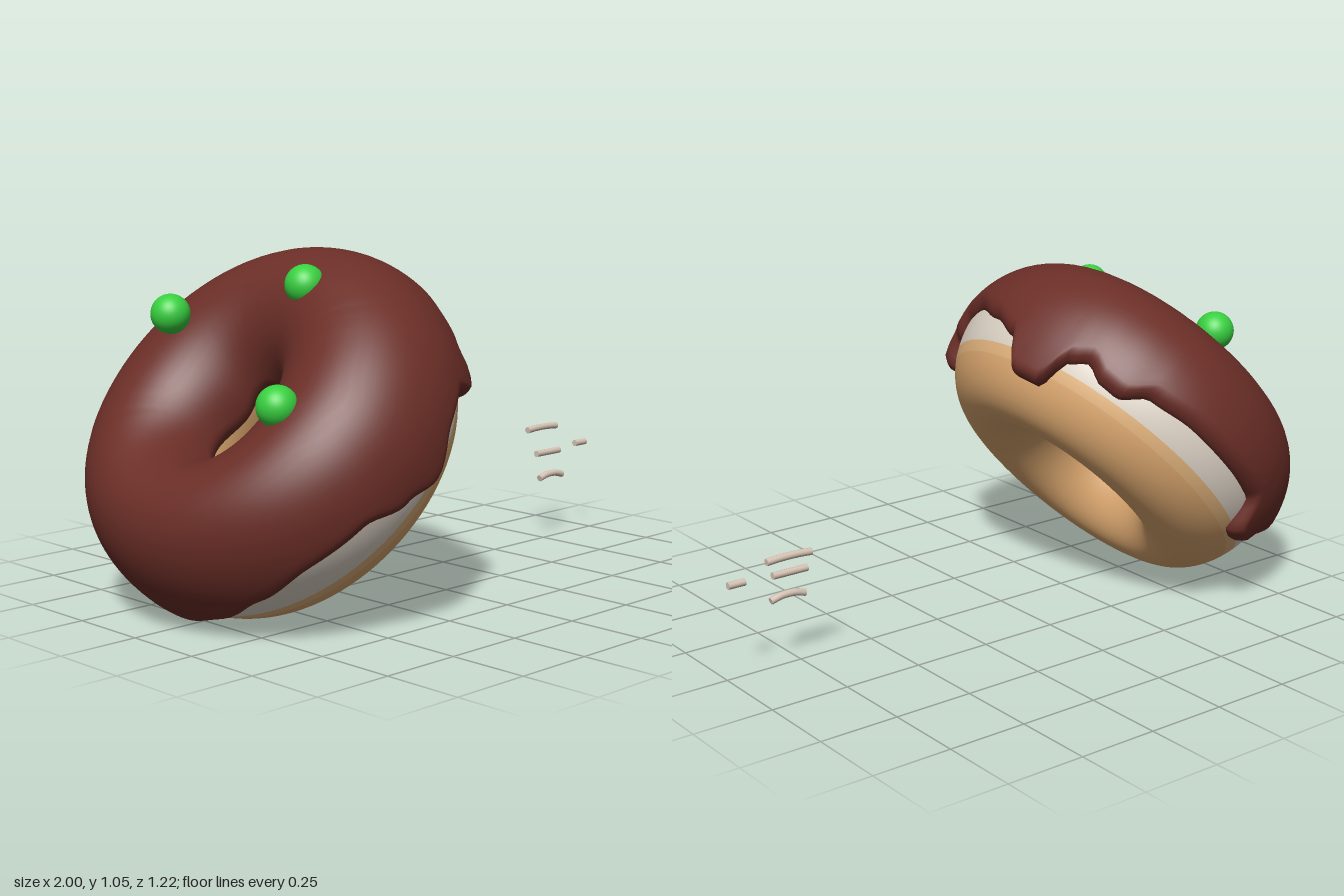
import * as THREE from 'three';

const DEG = Math.PI / 180;
const paint = (name, color) => {
  const m = new THREE.MeshStandardMaterial({ color });
  m.name = name;
  return m;
};

// Lower edge of the icing: [degrees round the ring, degrees round the tube]
const EDGE = [
  [-180, -25], [-165, -22], [-145, -8], [-124, -10], [-117, -34], [-111, -34], [-103, -12],
  [-90, -11], [-70, -11], [-54, -14], [-45, -25], [-39, -24], [-32, -17], [-27, -22],
  [-20, -45], [-11, -45], [-3, -22], [10, -13], [25, -6], [36, -9], [43, -20], [47, -20],
  [52, -36], [56, -36], [63, -19], [75, -18], [90, -27], [101, -17], [114, -4], [132, -3],
  [150, -10], [165, -20], [180, -25],
];
function icingEdge(phi) {
  let k = 0;
  while (k < EDGE.length - 2 && EDGE[k + 1][0] <= phi) k++;
  const [p0, t0] = EDGE[k], [p1, t1] = EDGE[k + 1];
  return t0 + (t1 - t0) * THREE.MathUtils.smoothstep(phi, p0, p1);
}

// Point on the ring, whose oval hole sits slightly off centre, pushed out by `offset`
function ringPoint(phi, t, offset) {
  const c = Math.cos(phi * DEG);
  const outer = 0.578 - 0.01 * Math.max(c, 0) ** 2, inner = 0.13 + 0.05 * c * c - 0.04 * c;
  const R = (outer + inner) / 2, a = (outer - inner) / 2;
  const ct = Math.cos(t * DEG), st = Math.sin(t * DEG);
  const b = st > 0 ? 0.25 : 0.285;
  const len = Math.hypot(ct / a, st / b);
  const rho = R + a * ct + offset * ct / a / len;
  return [rho * c, b * st + offset * st / b / len, rho * Math.sin(phi * DEG)];
}

// Surface closed round the ring; row(phi, j) gives a point, rows run round the tube
function ringSurface(cols, rows, row) {
  const pos = [], index = [], geo = new THREE.BufferGeometry();
  for (let j = 0; j <= rows; j++)
    for (let i = 0; i < cols; i++) pos.push(...row(-180 + 360 * i / cols, j));
  for (let j = 0; j < rows; j++)
    for (let i = 0; i < cols; i++) {
      const n = (i + 1) % cols;
      const A = j * cols + i, B = j * cols + n, C = A + cols, D = B + cols;
      index.push(A, C, B, B, C, D);
    }
  geo.setAttribute('position', new THREE.Float32BufferAttribute(pos, 3));
  geo.setIndex(index);
  geo.computeVertexNormals();
  return geo;
}

export function createModel() {
  const dough = paint('golden dough', 0xdba76f);
  const paleDough = paint('pale dough', 0xe0b27c);
  const cream = paint('cream band', 0xddd3c6);
  const chocolate = paint('chocolate icing', 0x6b2e27);
  const green = paint('green candy', 0x38d040);
  const sugar = paint('sugar sprinkle', 0xd6c3b4);

  const model = new THREE.Group();
  model.name = 'doughnut with sprinkles';
  const add = (parent, name, geo, mat) => {
    const mesh = new THREE.Mesh(geo, mat);
    mesh.name = name;
    parent.add(mesh);
    return mesh;
  };

  // Tilted doughnut
  const ring = new THREE.Group();
  ring.name = 'doughnut';
  ring.position.set(-0.48, 0.525, 0);
  ring.rotation.z = 48 * DEG;
  model.add(ring);

  // Dough: golden inside and below, then a pale and a cream band round the outside
  const COLS = 96, PER_ROW = COLS * 6;
  const doughGeo = ringSurface(COLS, 90, (phi, j) => ringPoint(phi, 60 + 4 * j, 0));
  [[0, 66], [66, 68], [68, 90]].forEach(([from, to], m) =>
    doughGeo.addGroup(from * PER_ROW, (to - from) * PER_ROW, m));
  add(ring, 'dough', doughGeo, [dough, paleDough, cream]);

  // Icing: rounded lip, thicker at the drips, running down into the hole
  const ICING_ROWS = 40;
  const icing = ringSurface(180, ICING_ROWS, (phi, j) => {
    const lo = icingEdge(phi), hi = 176 + 4 * Math.sin(phi * DEG * 3);
    const s = 0.5 - 0.5 * Math.cos(Math.PI * j / ICING_ROWS);
    const t = lo + (hi - lo) * s;
    const near = Math.min(t - lo, hi - t);
    const lip = Math.sqrt(THREE.MathUtils.clamp(near / 8, 0, 1));
    const drip = Math.max(0, (-lo - 20) / 30) * 0.024 + 0.008;
    return ringPoint(phi, t, -0.008 + (0.036 + drip * Math.exp(-(t - lo) / 22)) * lip);
  });
  add(ring, 'icing', icing, chocolate);

  // Candy balls
  const ball = new THREE.SphereGeometry(0.06, 32, 20);
  [[-0.615, 0.852, -0.302], [-0.45, 0.955, 0.112], [-0.74, 0.657, 0.315]].forEach((p) =>
    add(model, 'candyBall', ball, green).position.set(...p));

  // Loose sprinkles: [start x, end x, y, z, bend]
  const sprinkles = [
    [0.75, 0.9, 0.36, -0.077, 0.003], [0.73, 0.847, 0.288, -0.018, 0],
    [0.945, 1, 0.297, -0.028, 0], [0.73, 0.847, 0.205, -0.003, 0.009],
  ];
  for (const [x0, x1, y, z, bend] of sprinkles) {
    const path = new THREE.CatmullRomCurve3([0, 0.3, 0.7, 1].map((f, k) =>
      new THREE.Vector3(x0 + (x1 - x0) * f, y + (k % 3 ? bend : 0), z)));
    const sprinkle = new THREE.Group();
    sprinkle.name = 'sprinkle';
    model.add(sprinkle);
    add(sprinkle, 'sprinkleRod', new THREE.TubeGeometry(path, 12, 0.011, 12), sugar);
    // End caps
    for (const f of [0, 1]) {
      const cap = add(sprinkle, 'sprinkleCap', new THREE.CircleGeometry(0.011, 12), sugar);
      cap.position.copy(path.getPoint(f));
      const out = path.getTangent(f).multiplyScalar(f ? 1 : -1);
      cap.quaternion.setFromUnitVectors(new THREE.Vector3(0, 0, 1), out);
    }
  }
  return model;
}
